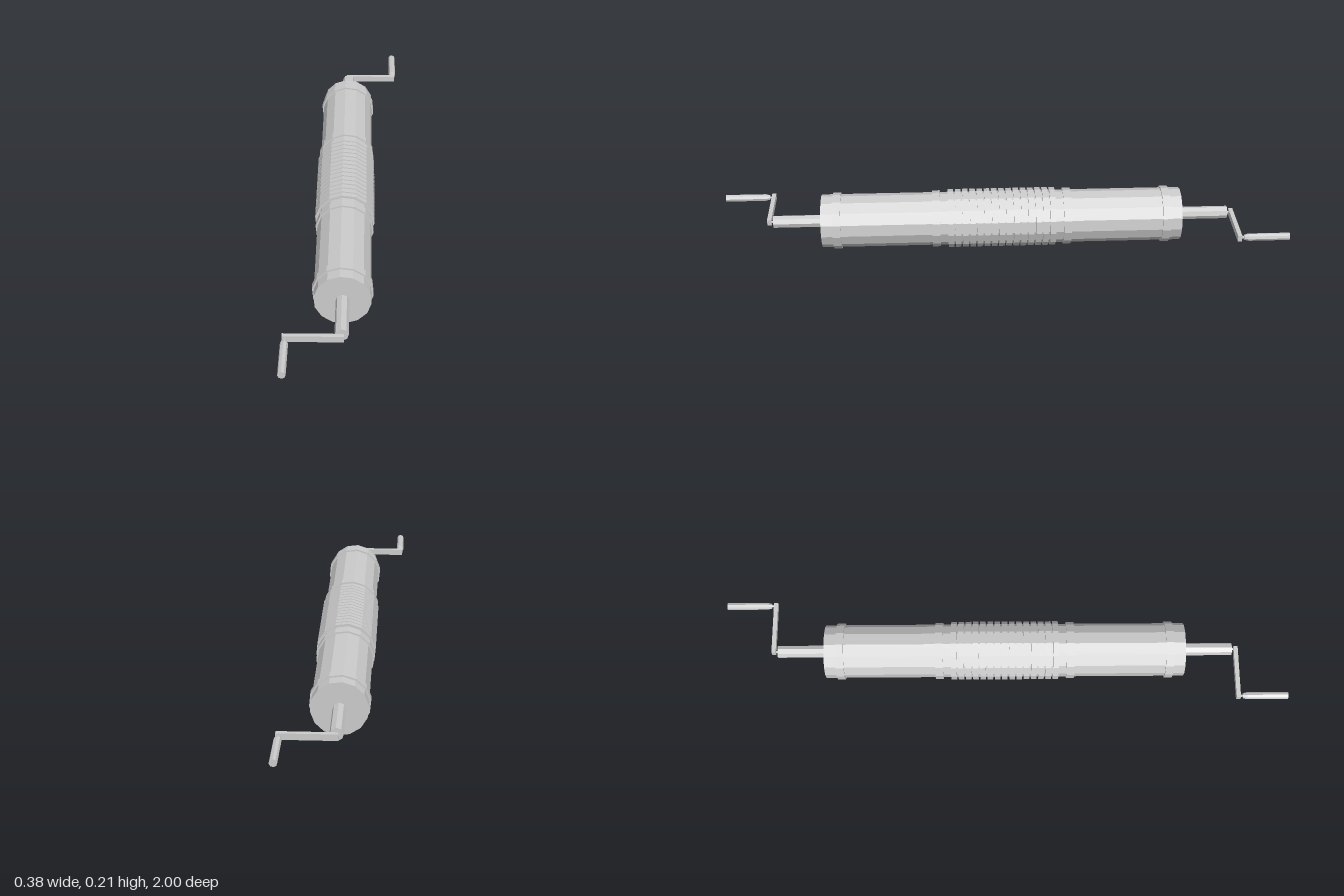
import * as THREE from 'three';

export function createModel() {
  const model = new THREE.Group();
  model.name = 'windlass';
  const grey = new THREE.MeshStandardMaterial({ color: 0xcccccc, flatShading: true });
  grey.name = 'light grey';
  const TWIST = THREE.MathUtils.degToRad(5.5);

  // Faceted rod lying along z, from z0 to z1, with a radius at each end
  function rod(name, parent, z0, z1, r0, r1, sides, x = 0) {
    const geo = new THREE.CylinderGeometry(r1, r0, z1 - z0, sides);
    geo.rotateX(Math.PI / 2).rotateZ(TWIST);
    const mesh = new THREE.Mesh(geo, grey);
    mesh.name = name;
    mesh.position.set(x, 0, (z0 + z1) / 2);
    parent.add(mesh);
    return mesh;
  }

  const roller = new THREE.Group();
  roller.name = 'roller';
  roller.position.y = 0.1045;
  model.add(roller);

  // Drum and its raised bands
  rod('drum', roller, -0.637, 0.637, 0.094, 0.094, 14);
  for (const z of [-0.582, -0.232, 0.232, 0.582])
    rod('band', roller, z - 0.014, z + 0.014, 0.1, 0.1, 14);

  // Rope wound around the middle, coil by coil
  const coils = 15, pitch = 0.386 / coils;
  for (let i = 0; i < coils; i++) {
    const z = (i - (coils - 1) / 2) * pitch;
    rod('ropeCoil', roller, z - pitch / 2 + 0.003, z + pitch / 2 - 0.003, 0.1035, 0.1035, 14);
  }

  // One crank at each end, turned half a revolution apart
  for (const turn of [0, Math.PI]) {
    const crank = new THREE.Group();
    crank.name = turn ? 'backCrank' : 'frontCrank';
    crank.rotation.y = turn;
    roller.add(crank);

    rod('shaft', crank, 0.62, 0.81, 0.0225, 0.0225, 8);
    rod('shaftPin', crank, 0.8, 0.825, 0.004, 0.004, 6);

    const arm = new THREE.Mesh(new THREE.BoxGeometry(0.192, 0.022, 0.015), grey);
    arm.name = 'crankArm';
    arm.position.set(-0.089, 0, 0.825);
    crank.add(arm);

    rod('handlePin', crank, 0.825, 0.85, 0.004, 0.004, 6, -0.176);
    rod('handleNeck', crank, 0.84, 0.856, 0.009, 0.013, 8, -0.176);
    rod('handle', crank, 0.856, 1, 0.013, 0.013, 8, -0.176);
  }
  return model;
}
